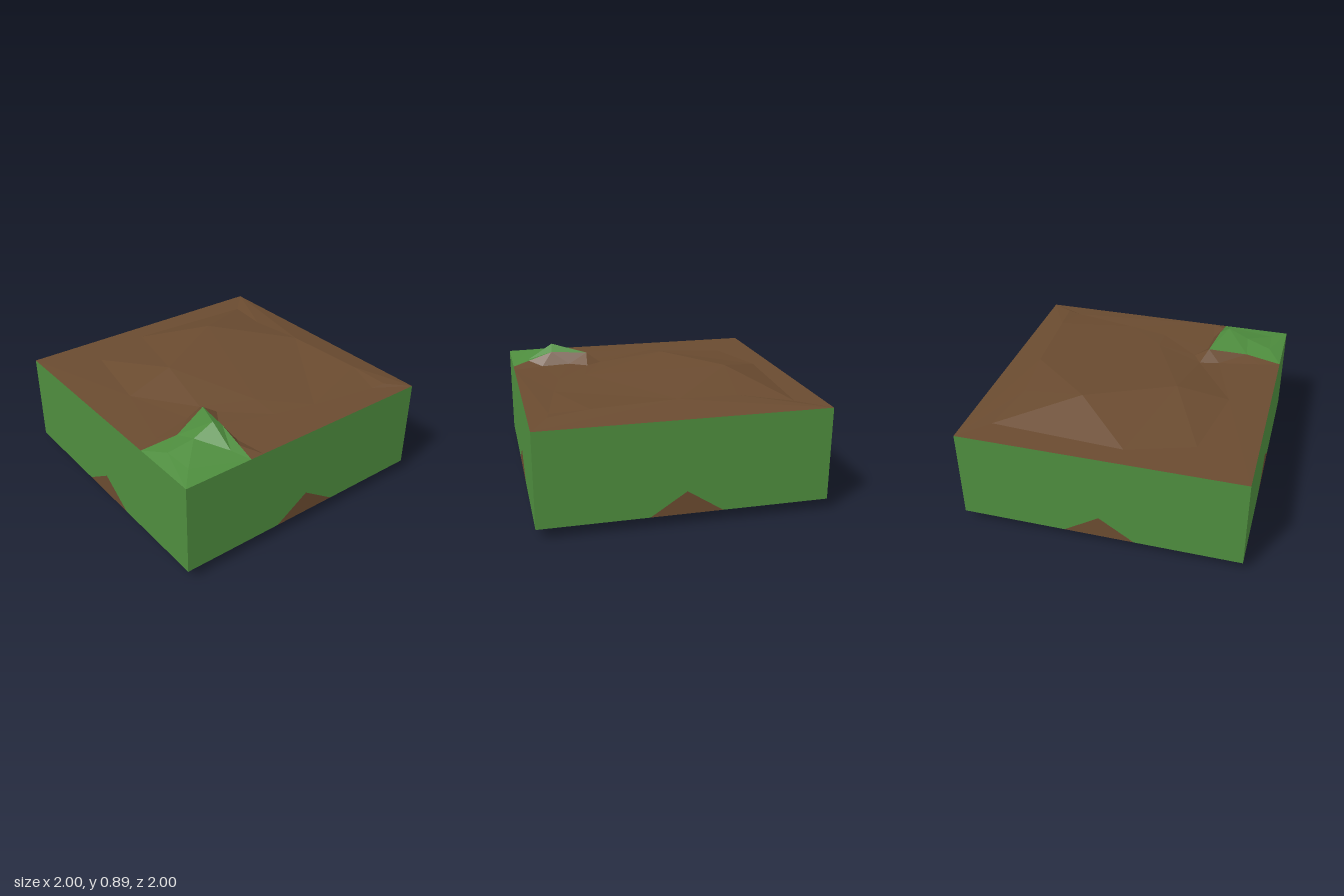
import * as THREE from 'three';

const LOW = 0.077, HIGH = 0.74;
const mat = (color) => new THREE.MeshStandardMaterial({ color, flatShading: true });
const green = mat(0x4e8d3e), brown = mat(0x6a4b30);

// Mesh from triangles of [x, y, z], every face turned to dir (+1 up, -1 down)
function facets(name, tris, dir, material) {
  const out = [];
  for (const [a, b, c] of tris) {
    const ny = (b[2] - a[2]) * (c[0] - a[0]) - (b[0] - a[0]) * (c[2] - a[2]);
    if (Math.abs(ny) < 1e-6) continue;
    out.push(...a, ...(ny * dir > 0 ? [...b, ...c] : [...c, ...b]));
  }
  const g = new THREE.BufferGeometry();
  g.setAttribute('position', new THREE.Float32BufferAttribute(out, 3));
  g.computeVertexNormals();
  const mesh = new THREE.Mesh(g, material);
  mesh.name = name;
  return mesh;
}

// Delaunay triangulation in plan: keep triples whose circumcircle is empty
function triangulate(p, keep) {
  const tris = [];
  for (let i = 0; i < p.length; i++)
    for (let j = i + 1; j < p.length; j++)
      for (let k = j + 1; k < p.length; k++) {
        const [a, b, c] = [p[i], p[j], p[k]];
        const bx = b[0] - a[0], bz = b[2] - a[2], cx = c[0] - a[0], cz = c[2] - a[2];
        const d = 2 * (bx * cz - bz * cx);
        if (Math.abs(d) < 1e-6) continue;
        const b2 = bx * bx + bz * bz, c2 = cx * cx + cz * cz;
        const ux = (cz * b2 - bz * c2) / d, uz = (bx * c2 - cx * b2) / d;
        const r = Math.hypot(ux, uz) - 1e-7;
        if (p.some((q) => Math.hypot(q[0] - a[0] - ux, q[2] - a[2] - uz) < r)) continue;
        if (keep((a[0] + b[0] + c[0]) / 3, (a[2] + b[2] + c[2]) / 3)) tris.push([a, b, c]);
      }
  return tris;
}

// Point-in-outline test in plan
function inside(poly, x, z) {
  let hit = false;
  poly.forEach((a, i) => {
    const b = poly[(i + 1) % poly.length];
    if ((a[2] > z) !== (b[2] > z) && x < a[0] + ((z - a[2]) * (b[0] - a[0])) / (b[2] - a[2])) hit = !hit;
  });
  return hit;
}

// Strip between two lines of equal point count
function strip(a, b) {
  const tris = [];
  for (let i = 0; i + 1 < a.length; i++) tris.push([a[i], b[i], b[i + 1]], [a[i], b[i + 1], a[i + 1]]);
  return tris;
}

const corners = (y) => [[-1, y, -1], [1, y, -1], [1, y, 1], [-1, y, 1]];

export function createModel() {
  const model = new THREE.Group();

  // Four side walls, each with an earth triangle at its foot
  const wall = new THREE.Shape([[-1, LOW], [-0.25, LOW], [0, 0.24], [0.25, LOW], [1, LOW], [1, HIGH], [-1, HIGH]]
    .map(([x, y]) => new THREE.Vector2(x, y)));
  const notch = new THREE.Shape([[-0.25, LOW], [0.25, LOW], [0, 0.24]].map(([x, y]) => new THREE.Vector2(x, y)));
  for (let i = 0; i < 4; i++) {
    const side = new THREE.Group();
    side.name = 'side' + (i + 1);
    for (const [name, shape, material] of [['grassWall', wall, green], ['earthTriangle', notch, brown]]) {
      const mesh = new THREE.Mesh(new THREE.ShapeGeometry(shape).translate(0, 0, 1), material);
      mesh.name = name;
      side.add(mesh);
    }
    side.rotation.y = (i * Math.PI) / 2;
    model.add(side);
  }

  // Earth rim climbing to the mound in the front corner of the top
  const tip = [0.43, 0.83, 0.46];
  const rimOuter = [[1, HIGH, 0.4], [0.78, 0.745, 0.44], [0.57, 0.755, 0.43], [0.44, 0.755, 0.35],
    [0.33, 0.76, 0.41], [0.38, 0.75, 0.55], [0.45, 0.745, 0.85], [0.41, HIGH, 1]];
  const rimInner = [[1, HIGH, 0.5], [0.88, 0.78, 0.5], [0.7, 0.84, 0.5], tip, tip, tip,
    [0.53, 0.77, 0.74], [0.5, HIGH, 1]];
  const corner = [1, HIGH, 1];
  model.add(facets('topRim', strip(rimOuter, rimInner), 1, brown));

  // Grass mound inside the rim
  const moundOutline = [...new Set(rimInner), corner];
  const moundPoints = [...moundOutline,
    [0.69, 0.89, 0.57], [0.88, 0.77, 0.57], [0.69, 0.82, 0.72], [0.66, 0.77, 0.9], [0.87, 0.765, 0.89]];
  model.add(facets('grassMound', triangulate(moundPoints, (x, z) => inside(moundOutline, x, z)), 1, green));

  // Rolling earth over the rest of the top
  const hills = [[-0.8, 0.742, -0.81], [-0.42, 0.785, -0.72], [0, 0.8, -0.76], [-0.48, 0.865, -0.26],
    [-0.85, 0.742, 0.14], [-0.15, 0.835, 0.34], [-0.7, 0.745, 0.6], [-0.1, 0.75, 0.71],
    [0.5, 0.77, 0.05], [0.6, 0.79, -0.8], [0.88, 0.765, -0.83],
    [0.86, 0.755, -0.73], [0.77, 0.75, -0.25], [0.7, 0.75, 0.05]];
  const rimOutline = [...rimOuter, corner];
  const top = [...corners(HIGH).filter((c) => !(c[0] > 0 && c[2] > 0)), ...rimOuter, ...hills];
  model.add(facets('earthTop', triangulate(top, (x, z) => !inside(rimOutline, x, z)), 1, brown));

  // Earth hollow in the back corner of the underside
  const deep = [0.41, 0.12, -0.44];
  const pitOuter = [[1, LOW, -0.5], [0.86, 0.04, -0.39], [0.5, 0.01, -0.31], [0.24, 0.01, -0.57],
    [0.34, 0.04, -0.87], [0.5, LOW, -1]];
  const pitInner = [[1, LOW, -0.5], [0.85, 0.085, -0.49], deep, deep, [0.48, 0.085, -0.85], [0.5, LOW, -1]];
  const back = [1, LOW, -1];
  model.add(facets('pitRim', strip(pitOuter, pitInner), -1, brown));
  model.add(facets('pitFloor', pitInner.slice(1).map((p, i) => [back, pitInner[i], p]), -1, brown));

  // Uneven grass over the rest of the underside
  const lumps = [[-0.54, 0, -0.5], [-0.1, 0.055, -0.75], [0, 0.05, -0.12], [-0.5, 0.065, 0],
    [-0.25, 0.055, 0.3], [-0.5, 0.055, 0.55], [0.3, 0.055, 0.35], [0.6, 0.07, 0.6], [-0.75, 0.07, 0.8],
    [0.6, 0.055, 0.05], [-0.82, 0.07, -0.75], [0.05, 0.07, 0.6], [0.3, 0.055, 0.87], [-0.8, 0.06, 0.2]];
  const pitOutline = [...pitOuter, back];
  const under = [...corners(LOW).filter((c) => !(c[0] > 0 && c[2] < 0)), ...pitOuter, ...lumps];
  model.add(facets('grassUnderside', triangulate(under, (x, z) => !inside(pitOutline, x, z)), -1, green));

  return model;
}
